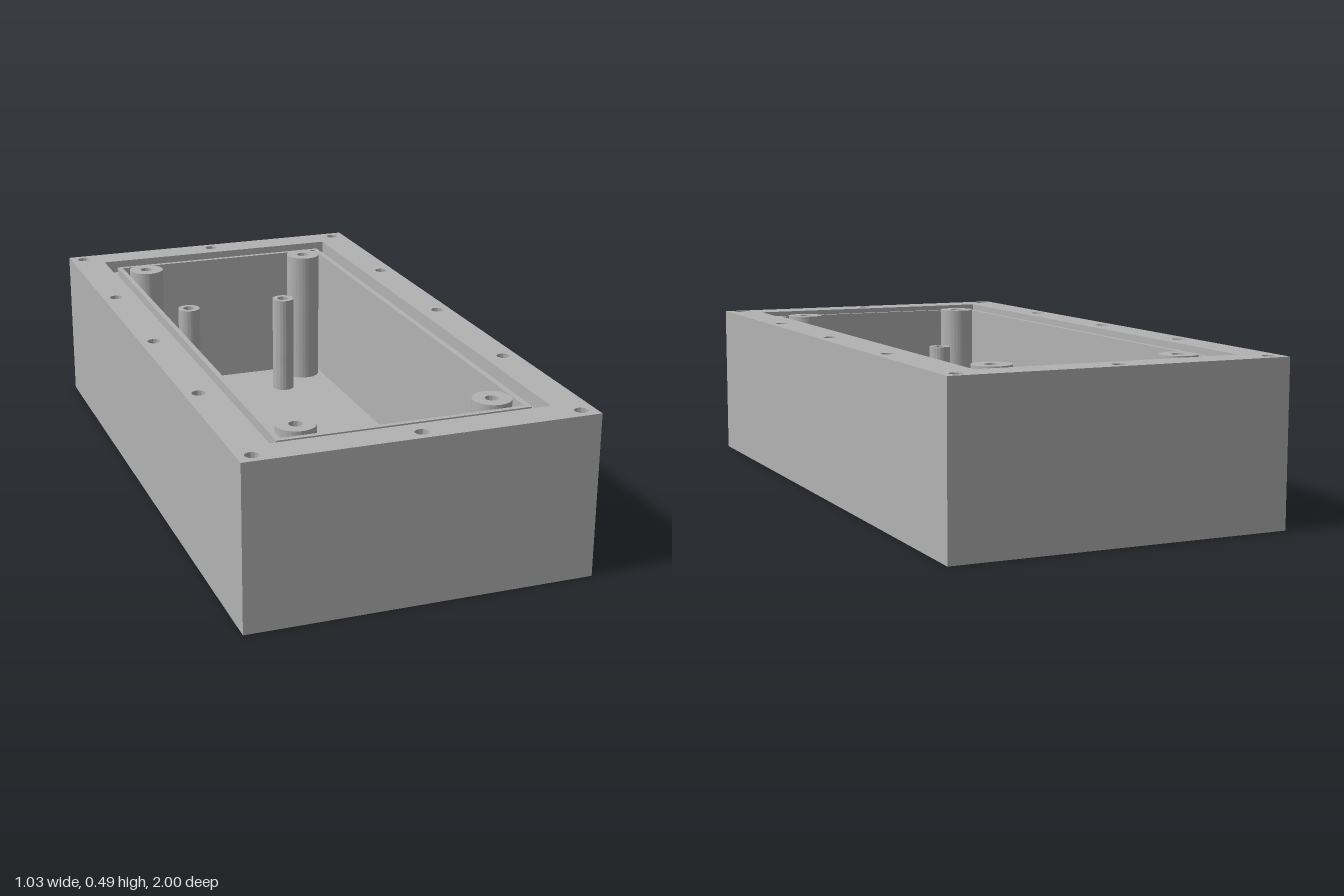
import * as THREE from 'three';
import { toCreasedNormals } from 'three/addons/utils/BufferGeometryUtils.js';

const HEIGHT = 0.49, FLOOR = 0.034, GROOVE = 0.45, HOLE_R = 0.02;

// Rectangle and circle outlines in plan, given by half sizes or radius
function rect(target, hx, hz) {
  target.moveTo(-hx, -hz).lineTo(hx, -hz).lineTo(hx, hz).lineTo(-hx, hz).closePath();
  return target;
}
const circle = (target, x, z, r) => {
  target.moveTo(x + r, z);
  return target.absarc(x, z, r, 0, Math.PI * 2);
};
const drill = ([x, z]) => circle(new THREE.Path(), x, z, HOLE_R);
const corners = (x, z) => [[x, z], [-x, z], [x, -z], [-x, -z]];

export function createModel() {
  const model = new THREE.Group();
  model.name = 'enclosureBase';
  const grey = new THREE.MeshStandardMaterial({ color: 0xb2b2b2 });
  grey.name = 'grey';

  // Extrude a plan outline from height y0 up to y1
  function slab(name, shape, y0, y1, holes = []) {
    shape.holes.push(...holes);
    const geo = new THREE.ExtrudeGeometry(shape, { depth: y1 - y0, bevelEnabled: false, curveSegments: 32 });
    geo.rotateX(-Math.PI / 2).translate(0, y0, 0);
    const mesh = new THREE.Mesh(toCreasedNormals(geo, 0.6), grey);
    mesh.name = name;
    model.add(mesh);
  }
  const outer = () => rect(new THREE.Shape(), 0.515, 1);
  const cavity = () => rect(new THREE.Path(), 0.357, 0.846);

  const mounts = corners(0.29, 0.78);
  const standoffs = corners(0.173, 0.66);
  const screws = [[0, 0.96], [0, -0.96]];
  for (const x of [-0.472, 0.472])
    for (const z of [-0.96, -0.48, 0, 0.48, 0.96]) screws.push([x, z]);

  // Floor, with blind mounting holes from below
  slab('underside', outer(), 0, 0.02, mounts.map(drill));
  slab('floor', outer(), 0.02, FLOOR);

  // Walls, with blind screw holes from the rim down
  slab('lowerWall', outer(), FLOOR, 0.28, [cavity()]);
  slab('upperWall', outer(), 0.28, GROOVE, [cavity(), ...screws.map(drill)]);
  slab('rim', outer(), GROOVE, HEIGHT, [rect(new THREE.Path(), 0.41, 0.9), ...screws.map(drill)]);

  // Thin lip standing inside the seal groove
  slab('sealLip', rect(new THREE.Shape(), 0.373, 0.862), GROOVE, 0.478, [cavity()]);

  // Round posts with a blind hole in the top
  function post(name, [x, z], r, top) {
    const split = top - 0.2;
    slab(name + 'Base', circle(new THREE.Shape(), x, z, r), FLOOR, split);
    slab(name + 'Top', circle(new THREE.Shape(), x, z, r), split, top, [drill([x, z])]);
  }
  mounts.forEach(p => post('cornerPost', p, 0.057, 0.485));
  standoffs.forEach(p => post('boardStandoff', p, 0.037, 0.367));

  return model;
}
